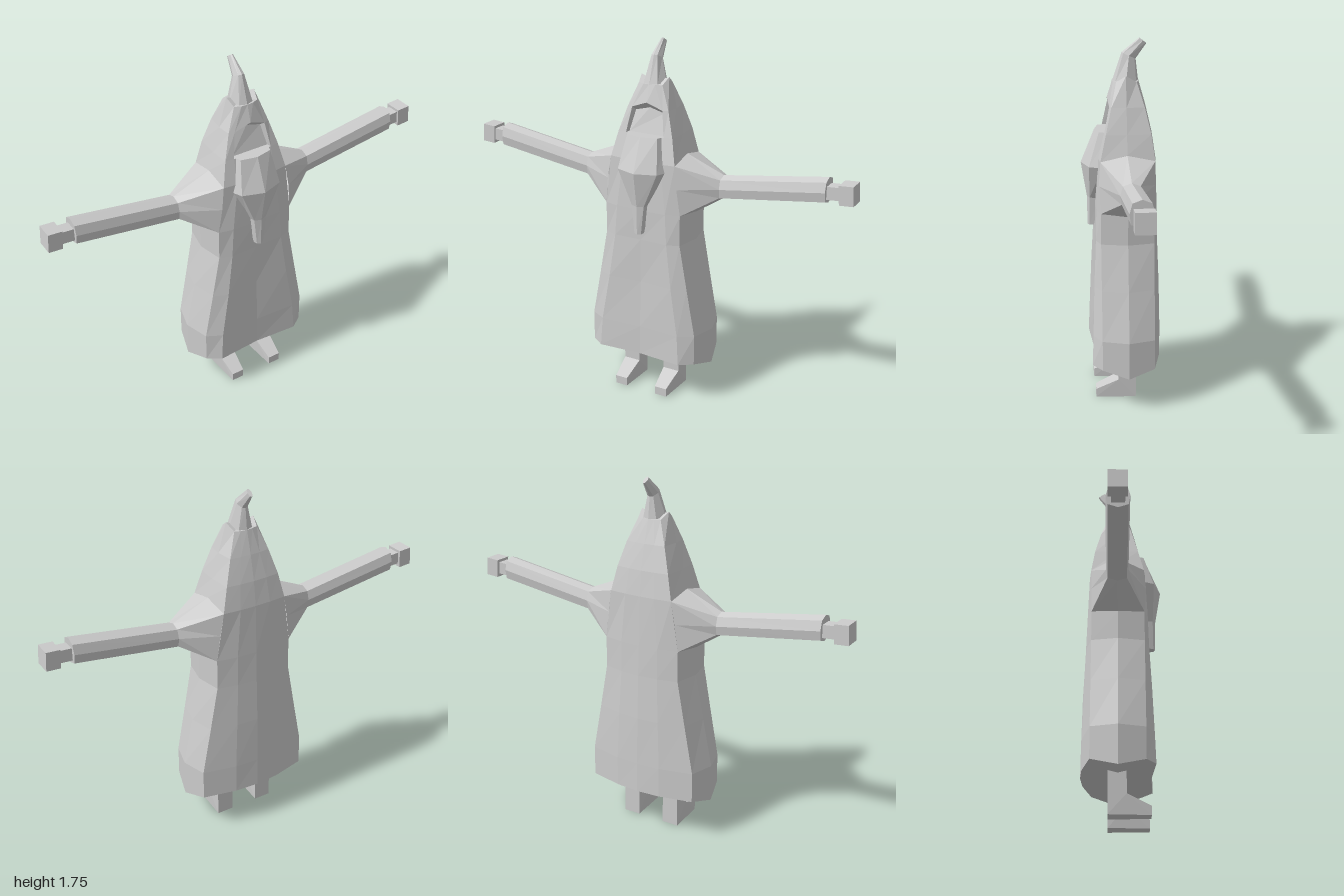
import * as THREE from 'three';

const grey = new THREE.MeshStandardMaterial({ color: 0xcccccc, flatShading: true, side: THREE.DoubleSide });
grey.name = 'light grey';

// Skin closed rings of [x, y, z] points; each ring runs counterclockwise seen from the last ring's end
function loft(rings, { start = true, end = true, skip = () => false } = {}) {
  const out = [];
  const n = rings[0].length;
  const tri = (a, b, c) => out.push(...a, ...b, ...c);
  const mid = (r) => [0, 1, 2].map((k) => r.reduce((sum, p) => sum + p[k], 0) / n);
  for (let i = 0; i < rings.length - 1; i++) {
    for (let j = 0; j < n; j++) {
      if (skip(i, j)) continue;
      const k = (j + 1) % n;
      tri(rings[i][j], rings[i][k], rings[i + 1][k]);
      tri(rings[i][j], rings[i + 1][k], rings[i + 1][j]);
    }
  }
  const first = rings[0], last = rings[rings.length - 1];
  for (let j = 0; j < n; j++) {
    const k = (j + 1) % n;
    if (start) tri(mid(first), first[k], first[j]);
    if (end) tri(mid(last), last[j], last[k]);
  }
  const g = new THREE.BufferGeometry();
  g.setAttribute('position', new THREE.Float32BufferAttribute(out, 3));
  g.computeVertexNormals();
  return g;
}

// Complete a half ring (front centre, +x side, back centre) with its mirror image
const mirrorRing = (half) => [...half, ...half.slice(1, -1).reverse().map(([x, y, z]) => [-x, y, z])];

export function createModel() {
  const model = new THREE.Group();
  const add = (name, geometry, parent = model) => {
    const m = new THREE.Mesh(geometry, grey);
    m.name = name;
    parent.add(m);
    return m;
  };

  // Robe and hood: y, front centre z, front x z, corner x z, side x and lift, back corner x z, back x z, back centre z
  const levels = [
    [0.21, 0.14, 0.22, 0.155, 0.285, 0.11, 0.32, -0.035, 0.285, -0.14, 0.12, -0.178, -0.187],
    [0.36, 0.14, 0.21, 0.15, 0.285, 0.11, 0.32, 0, 0.285, -0.14, 0.12, -0.178, -0.185],
    [0.60, 0.13, 0.17, 0.142, 0.24, 0.11, 0.27, 0, 0.24, -0.14, 0.11, -0.172, -0.18],
    [0.82, 0.13, 0.14, 0.132, 0.2, 0.11, 0.225, 0, 0.2, -0.14, 0.1, -0.163, -0.17],
    [0.97, 0.13, 0.13, 0.128, 0.2, 0.11, 0.225, -0.01, 0.2, -0.14, 0.1, -0.16, -0.165],
    [1.21, 0.12, 0.1, 0.118, 0.17, 0.11, 0.172, 0.03, 0.165, -0.145, 0.08, -0.153, -0.155],
    [1.33, 0.09, 0.1, 0.088, 0.143, 0.083, 0.147, 0, 0.138, -0.128, 0.07, -0.135, -0.138],
    [1.45, 0.07, 0.08, 0.063, 0.107, 0.055, 0.113, 0, 0.102, -0.1, 0.05, -0.106, -0.11],
    [1.56, 0.045, 0.03, 0.043, 0.062, 0.03, 0.073, 0.03, 0.06, -0.066, 0.03, -0.074, -0.078],
  ];
  const archTop = 7;
  const rings = levels.map(([y, f0, fx, fz, cx, cz, sx, lift, bx, bz, mx, mz, m0], i) => mirrorRing([
    [0, i === archTop ? 1.48 : y, f0], [fx, y, fz], [cx, y, cz], [sx, y + lift, -0.015],
    [bx, y, bz], [mx, y, mz], [0, y, m0],
  ]));
  add('robeAndHood', loft(rings, { skip: (i, j) => i === archTop - 1 && (j === 0 || j === 11) }));

  // Recessed face inside the arched hood opening
  const opening = [[-0.1, 1.33, 0.088], [0.1, 1.33, 0.088], [0.08, 1.45, 0.063], [0, 1.48, 0.07], [-0.08, 1.45, 0.063]];
  const inner = [[-0.095, 1.33, 0.065], [0.095, 1.33, 0.065], [0.075, 1.43, 0.035], [0, 1.45, 0.035], [-0.075, 1.43, 0.035]];
  add('face', loft([inner, opening].map((r) => r), { start: false, end: false }));
  const panel = new THREE.BufferGeometry();
  panel.setAttribute('position', new THREE.Float32BufferAttribute(inner.flat(), 3));
  panel.setIndex([0, 1, 2, 0, 2, 3, 0, 3, 4]);
  panel.computeVertexNormals();
  add('facePanel', panel);

  // Bent hat tip: front y z, back y z, half width
  const tip = [
    [1.55, 0.047, 1.55, -0.078, 0.062],
    [1.69, 0, 1.66, -0.065, 0.026],
    [1.755, -0.08, 1.73, -0.115, 0.011],
  ].map(([fy, fz, by, bz, w]) => {
    const at = (x, t) => [x * w, fy + (by - fy) * t, fz + (bz - fz) * t];
    return mirrorRing([at(0, 0), at(0.6, 0.1), at(1, 0.5), at(0.6, 0.9), at(0, 1)]);
  });
  add('hatTip', loft(tip));

  // Beard: y, half width, ridge z, shoulder z, back z
  const beard = [
    [0.86, 0.022, 0.165, 0.157, 0.135],
    [1.0, 0.04, 0.167, 0.155, 0.11],
    [1.17, 0.13, 0.195, 0.16, 0.1],
    [1.33, 0.1, 0.13, 0.112, 0.06],
  ].map(([y, w, zf, zs, zb]) => [[0, y, zf], [w * 0.8, y, zs], [w, y, zb], [-w, y, zb], [-w * 0.8, y, zs]]);
  add('beard', loft(beard));

  // Sleeves flare from the shoulder into a straight eight-sided arm
  const sleeveRing = (x, y, h) => [
    [x, y + h, -0.02], [x, y + h * 0.75, 0.02], [x, y, 0.032], [x, y - h * 0.75, 0.025],
    [x, y - h, -0.02], [x, y - h * 0.75, -0.065], [x, y, -0.073], [x, y + h * 0.75, -0.06],
  ];
  const shoulder = [
    [0.17, 1.24, -0.015], [0.17, 1.21, 0.11], [0.185, 1.1, 0.119], [0.2, 0.97, 0.11],
    [0.225, 0.96, -0.015], [0.2, 0.97, -0.14], [0.183, 1.1, -0.143], [0.165, 1.21, -0.145],
  ];
  const sleeve = [shoulder, sleeveRing(0.36, 1.105, 0.057), sleeveRing(0.87, 1.18, 0.06)];

  // Leg and pointed shoe share one side profile, drawn as (z, y)
  const profile = new THREE.Shape([
    [-0.06, 0], [0.135, 0], [0.135, 0.042], [0.025, 0.095], [0.025, 0.25], [-0.06, 0.25],
  ].map(([z, y]) => new THREE.Vector2(-z, y)).reverse());

  for (const side of [1, -1]) {
    const label = side > 0 ? 'left' : 'right';
    const flip = (r) => (side > 0 ? r : r.map(([x, y, z]) => [-x, y, z]).reverse());
    add(label + 'Sleeve', loft(sleeve.map(flip), { start: false }));

    const wrist = add(label + 'Wrist', new THREE.BoxGeometry(0.09, 0.06, 0.06));
    wrist.position.set(side * 0.9, 1.175, -0.02);
    const hand = add(label + 'Hand', new THREE.BoxGeometry(0.067, 0.09, 0.085));
    hand.position.set(side * 0.963, 1.178, -0.022);
    wrist.rotation.z = hand.rotation.z = side * 0.07;

    const leg = new THREE.ExtrudeGeometry(profile, { depth: 0.085, bevelEnabled: false });
    leg.rotateY(Math.PI / 2);
    leg.translate(-0.0425, 0, 0);
    // Narrow the toe
    const p = leg.attributes.position;
    for (let i = 0; i < p.count; i++) if (p.getZ(i) > 0.1) p.setX(i, p.getX(i) * 0.75);
    leg.computeVertexNormals();
    add(label + 'Leg', leg).position.x = side * 0.113;
  }
  return model;
}
